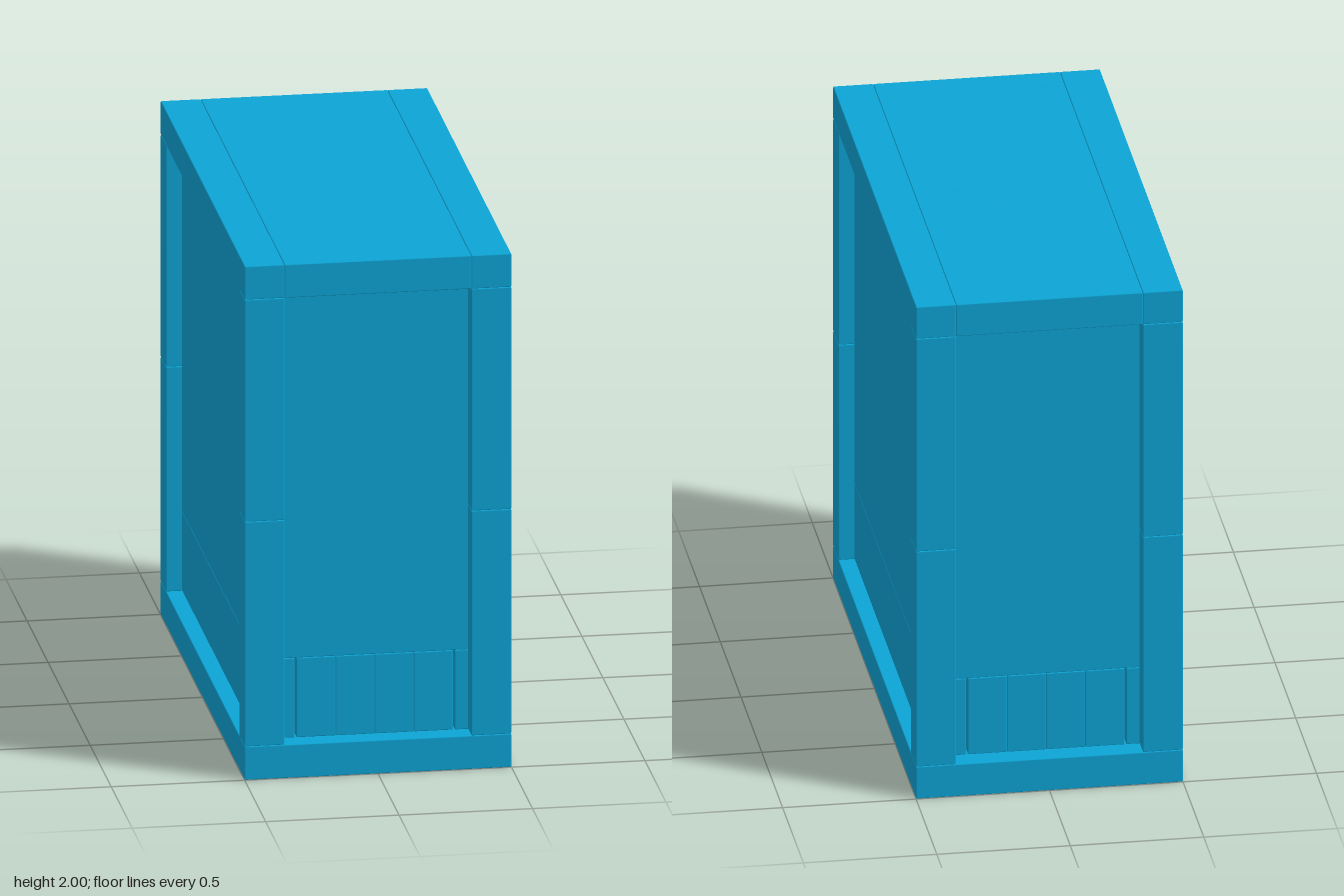
import * as THREE from 'three';
import { RoundedBoxGeometry } from 'three/addons/geometries/RoundedBoxGeometry.js';

const material = new THREE.MeshStandardMaterial({ color: 0x0da5d6 });

// Block between two corners, with a tiny softened edge that leaves a seam
function block(parent, name, [x0, x1], [y0, y1], [z0, z1]) {
  const geo = new RoundedBoxGeometry(x1 - x0, y1 - y0, z1 - z0, 1, 0.004);
  const mesh = new THREE.Mesh(geo, material);
  mesh.position.set((x0 + x1) / 2, (y0 + y1) / 2, (z0 + z1) / 2);
  mesh.name = name;
  parent.add(mesh);
}

// Range [a, b] mirrored to the given side
const mirror = (s, a, b) => (s > 0 ? [a, b] : [-b, -a]);

function section(root, name) {
  const g = new THREE.Group();
  g.name = name;
  root.add(g);
  return g;
}

export function createModel() {
  const root = new THREE.Group();
  root.name = 'blockCabinet';

  const W = 0.5, D = 1, H = 2;            // outer half width, half depth, height
  const postX = 0.35, postZ = 0.87;       // inner edges of the corner posts
  const wallX = 0.44, wallZ = 0.92;       // faces of the recessed walls
  const baseTop = 0.13, slatTop = 0.44, postSeam = 1.005, roofBottom = 1.87;
  const thick = 0.14;

  // Base: a row of planks across the width
  const base = section(root, 'base');
  const planks = 16, plankDepth = (2 * D) / planks;
  for (let i = 0; i < planks; i++) {
    const z = -D + i * plankDepth;
    block(base, 'basePlank', [-W, W], [0, baseTop], [z, z + plankDepth]);
  }

  // Corner posts, each in two stacked lengths
  const posts = section(root, 'cornerPosts');
  for (const sx of [-1, 1]) for (const sz of [-1, 1]) {
    const x = mirror(sx, postX, W), z = mirror(sz, postZ, D);
    block(posts, 'lowerPost', x, [baseTop, postSeam], z);
    block(posts, 'upperPost', x, [postSeam, roofBottom], z);
  }

  // Recessed walls: a plain panel above a row of slats
  const walls = section(root, 'walls');
  const slatW = (2 * wallX) / 6, slatD = (2 * wallZ) / 12;
  for (const s of [-1, 1]) {
    const x = mirror(s, wallX - thick, wallX), z = mirror(s, wallZ - thick, wallZ);
    block(walls, 'sidePanel', x, [slatTop, roofBottom], [-wallZ, wallZ]);
    block(walls, 'endPanel', [-wallX, wallX], [slatTop, roofBottom], z);
    for (let i = 0; i < 12; i++) {
      const z0 = -wallZ + i * slatD;
      block(walls, 'sideSlat', x, [baseTop, slatTop], [z0, z0 + slatD]);
    }
    for (let i = 1; i < 5; i++) {
      const x0 = -wallX + i * slatW;
      block(walls, 'endSlat', [x0, x0 + slatW], [baseTop, slatTop], z);
    }
  }

  // Roof: flush tiles with a narrow pair across the middle
  const roof = section(root, 'roof');
  const xs = [-W, -postX, postX, W];
  const zs = [-D, -postZ, -0.13, 0, 0.13, postZ, D];
  for (let i = 0; i < xs.length - 1; i++) {
    for (let j = 0; j < zs.length - 1; j++) {
      block(roof, 'roofTile', [xs[i], xs[i + 1]], [roofBottom, H], [zs[j], zs[j + 1]]);
    }
  }

  return root;
}
